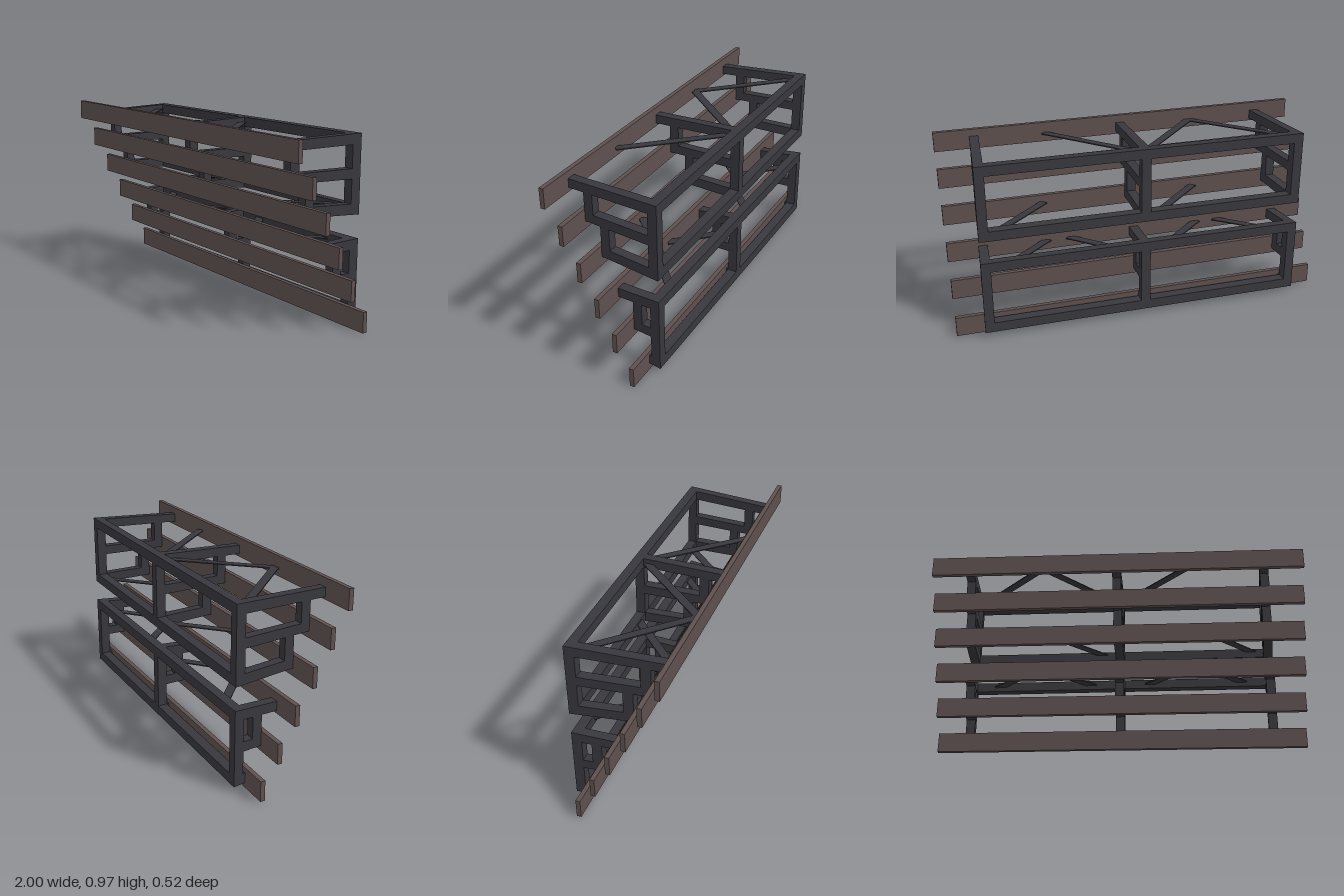
import * as THREE from 'three';

const BACK = -0.258, BAR = 0.05, POST_X = 0.838;

export function createModel() {
  const steel = new THREE.MeshStandardMaterial({ color: 0x37373d });
  steel.name = 'darkSteel';
  const wood = new THREE.MeshStandardMaterial({ color: 0x5e504f });
  wood.name = 'brownWood';
  const model = new THREE.Group();
  model.name = 'slattedPanel';

  // Box given by its limits; bars narrow slightly towards the front
  function bar(name, parent, [x0, x1], [y0, y1], [z0, z1], midY, taperY) {
    const g = new THREE.BoxGeometry(x1 - x0, y1 - y0, z1 - z0);
    g.translate((x0 + x1) / 2, (y0 + y1) / 2, (z0 + z1) / 2);
    const p = g.attributes.position;
    for (let i = 0; i < p.count; i++) {
      const d = p.getZ(i) - BACK;
      p.setX(i, p.getX(i) * (1 - 0.105 * d) - 0.003);
      p.setY(i, p.getY(i) - taperY * d * (p.getY(i) - midY));
    }
    g.computeVertexNormals();
    const m = new THREE.Mesh(g, steel);
    m.name = name;
    parent.add(m);
  }

  // Each frame: three stepped brackets joined by two rear rails
  const frames = [
    {
      name: 'upperFrame', midY: 0.83, taperY: 0.2, y: [0.546, 0.94],
      bars: [
        ['topArm', [0.888, 0.94], [BACK, 0.237]],
        ['frontHanger', [0.73, 0.9], [0.1, 0.15]],
        ['middleArm', [0.722, 0.773], [-0.22, 0.15]],
        ['innerHanger', [0.56, 0.74], [0.012, 0.062]],
        ['bottomArm', [0.546, 0.6], [BACK, 0.064]],
      ],
    },
    {
      name: 'lowerFrame', midY: 0.3, taperY: 0.35, y: [0.032, 0.427],
      bars: [
        ['topArm', [0.374, 0.427], [BACK, -0.022]],
        ['hanger', [0.21, 0.38], [-0.158, -0.108]],
        ['middleArm', [0.205, 0.257], [-0.22, -0.108]],
        ['bottomArm', [0.032, 0.084], [BACK, -0.193]],
      ],
    },
  ];
  for (const f of frames) {
    const frame = new THREE.Group();
    frame.name = f.name;
    model.add(frame);
    const put = (n, x, y, z) => bar(n, frame, x, y, z, f.midY, f.taperY);
    const rear = [BACK, BACK + BAR];
    for (const x of [-POST_X, 0, POST_X]) {
      const span = [x - BAR / 2, x + BAR / 2];
      put('rearPost', span, f.y, rear);
      for (const [n, y, z] of f.bars) put(n, span, y, z);
    }
    const width = [-POST_X - BAR / 2, POST_X + BAR / 2];
    put('topRail', width, [f.y[1] - 0.052, f.y[1]], rear);
    put('bottomRail', width, [f.y[0], f.y[0] + 0.052], rear);
  }

  // Flat diagonal braces: height, rear x, rear z, front x, front z
  const braces = [
    [0.91, -0.84, -0.215, -0.4, 0.225],
    [0.91, 0, -0.215, -0.4, 0.225],
    [0.91, 0, -0.215, 0.42, 0.232],
    [0.585, -0.09, -0.22, -0.37, 0.055],
    [0.585, 0.75, -0.22, 0.47, 0.055],
    [0.4, -0.7, -0.22, -0.47, -0.02],
    [0.4, -0.15, -0.22, -0.37, -0.02],
    [0.4, 0.15, -0.22, 0.36, -0.02],
    [0.4, 0.69, -0.22, 0.47, -0.02],
  ];
  for (const [y, x0, z0, x1, z1] of braces) {
    const dx = x1 - x0, dz = z1 - z0;
    const brace = new THREE.Mesh(new THREE.BoxGeometry(Math.hypot(dx, dz), 0.006, 0.043), steel);
    brace.position.set((x0 + x1) / 2, y, (z0 + z1) / 2);
    brace.rotation.y = -Math.atan2(dz, dx);
    brace.name = 'diagonalBrace';
    model.add(brace);
  }

  // Six long slats stepping forward as they rise, each very slightly tilted
  for (let i = 0; i < 6; i++) {
    const slat = new THREE.Mesh(new THREE.BoxGeometry(2, 0.105, 0.024), wood);
    slat.position.set(0, 0.059 + i * 0.1717, -0.183 + i * 0.0859);
    slat.rotation.z = -0.0045;
    slat.name = 'slat';
    model.add(slat);
  }
  return model;
}
